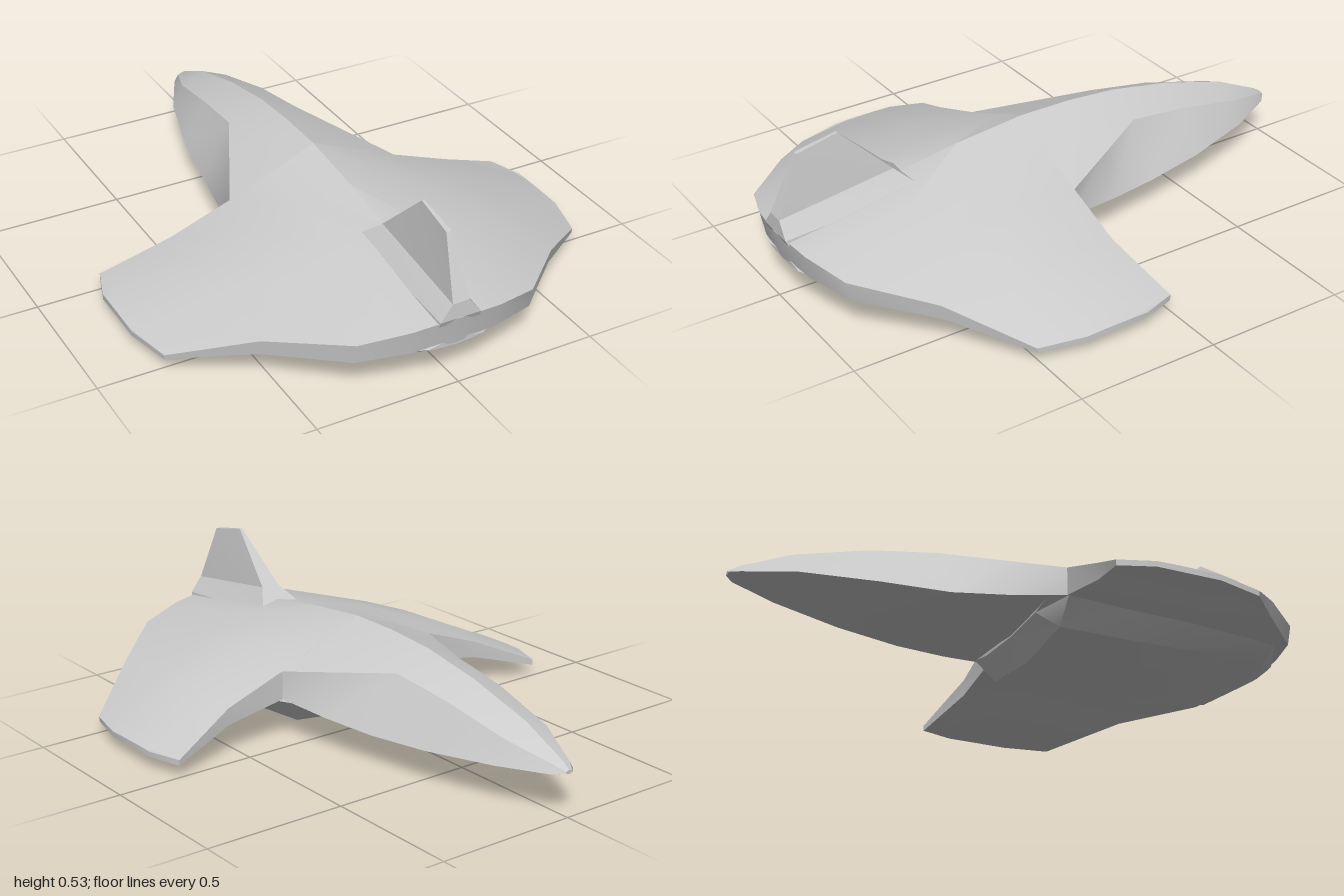
import * as THREE from 'three';
import { toCreasedNormals } from 'three/addons/utils/BufferGeometryUtils.js';

const material = new THREE.MeshStandardMaterial({ color: 0xcccccc });

// Skins a list of closed rings of [x, y, z] points and caps both ends.
function loft(name, rings, crease = 0.45) {
  const n = rings[0].length;
  const pos = rings.flat(2);
  const index = [];
  for (let i = 0; i < rings.length - 1; i++) {
    for (let j = 0; j < n; j++) {
      const a = i * n + j, b = i * n + (j + 1) % n;
      index.push(a, b, b + n, a, b + n, a + n);
    }
  }
  [0, rings.length - 1].forEach((r, end) => {
    const centre = [0, 1, 2].map(k => rings[r].reduce((s, p) => s + p[k], 0) / n);
    const c = pos.length / 3;
    pos.push(...centre);
    for (let j = 0; j < n; j++) {
      const a = r * n + j, b = r * n + (j + 1) % n;
      index.push(...(end ? [c, a, b] : [c, b, a]));
    }
  });
  // Turn the faces outward if the enclosed volume comes out negative
  const v = i => new THREE.Vector3().fromArray(pos, i * 3);
  let volume = 0;
  for (let i = 0; i < index.length; i += 3) {
    volume += v(index[i]).dot(v(index[i + 1]).cross(v(index[i + 2])));
  }
  if (volume < 0) index.reverse();
  const geometry = new THREE.BufferGeometry();
  geometry.setAttribute('position', new THREE.Float32BufferAttribute(pos, 3));
  geometry.setIndex(index);
  const mesh = new THREE.Mesh(toCreasedNormals(geometry, crease), material);
  mesh.name = name;
  return mesh;
}

// Completes a half section, running from top centre to bottom centre
const mirrorRing = half => [
  ...half,
  ...half.slice(1, -1).reverse().map(([x, y, z]) => [-x, y, z]),
];

// Nose: sloping walls between an upper ridge and a wider lower edge
function makeNose() {
  const stations = [ // z, topY, ridgeX, ridgeY, edgeX, edgeY, bottomY
    [-1.00, 0.165, 0.012, 0.16, 0.015, 0.155, 0.15],
    [-0.97, 0.185, 0.03, 0.175, 0.045, 0.15, 0.14],
    [-0.80, 0.262, 0.09, 0.225, 0.13, 0.145, 0.105],
    [-0.55, 0.33, 0.115, 0.28, 0.20, 0.13, 0.083],
    [-0.32, 0.37, 0.13, 0.31, 0.24, 0.12, 0.085],
    [-0.13, 0.383, 0.225, 0.28, 0.28, 0.13, 0.098],
    [0.06, 0.383, 0.32, 0.25, 0.32, 0.15, 0.13],
  ];
  return loft('nose', stations.map(([z, top, rx, ry, ex, ey, bottom]) => mirrorRing([
    [0, top, z], [rx / 2, (top + ry) / 2, z], [rx, ry, z], [ex, ey, z], [0, bottom, z],
  ])));
}

// Deck: drooping wings and rear body, skinned across the span
function makeDeck() {
  const stations = [ // x, front z/top/bottom, two upper points z/y, rear z/top/bottom
    [0, 0.06, 0.383, 0.13, 0.32, 0.355, 0.60, 0.31, 1.00, 0.245, 0.14],
    [0.16, 0.06, 0.317, 0.14, 0.32, 0.315, 0.60, 0.283, 0.975, 0.225, 0.137],
    [0.32, 0.06, 0.25, 0.15, 0.30, 0.272, 0.56, 0.248, 0.92, 0.197, 0.125],
    [0.54, 0.06, 0.17, 0.11, 0.25, 0.195, 0.47, 0.185, 0.71, 0.158, 0.103],
    [0.775, 0, 0.065, 0.045, 0.15, 0.085, 0.35, 0.08, 0.51, 0.058, 0.04],
    [0.815, 0.12, 0.066, 0.047, 0.18, 0.067, 0.29, 0.066, 0.35, 0.064, 0.045],
  ];
  const ring = ([x, fz, ft, fb, z1, y1, z2, y2, rz, rt, rb], side) => {
    const under = z => fb + (rb - fb) * (z - fz) / (rz - fz);
    return [
      [fz, ft], [z1, y1], [z2, y2], [rz, rt],
      [rz - (rt - rb) * 0.2, rb], [z2, under(z2)], [z1, under(z1)], [fz, fb],
    ].map(([z, y]) => [side * x, y, z]);
  };
  return loft('wingsAndRearBody', [
    ...stations.slice(1).reverse().map(s => ring(s, -1)),
    ...stations.map(s => ring(s, 1)),
  ]);
}

// Belly: shallow keeled hull beneath the deck
function makeBelly() {
  const stations = [ // z, rimX, rimY, chineX, chineY, keelY
    [0.00, 0.30, 0.145, 0.20, 0.125, 0.115],
    [0.06, 0.33, 0.145, 0.26, 0.06, 0.03],
    [0.30, 0.34, 0.13, 0.28, 0.05, 0.004],
    [0.52, 0.34, 0.125, 0.275, 0.055, 0.018],
    [0.87, 0.29, 0.13, 0.20, 0.085, 0.065],
    [0.975, 0.10, 0.14, 0.07, 0.135, 0.13],
  ];
  return loft('belly', stations.map(([z, rx, ry, cx, cy, keel]) => mirrorRing([
    [0, ry + 0.02, z], [rx, ry, z], [cx, cy, z], [0, keel, z],
  ])));
}

// Fin: flared foot rising to a thin swept blade
function makeFin() {
  const levels = [ // front z/y/halfWidth, rear z/y/halfWidth
    [0.50, 0.27, 0.09, 0.99, 0.225, 0.075],
    [0.50, 0.29, 0.088, 0.998, 0.245, 0.072],
    [0.58, 0.36, 0.034, 0.995, 0.30, 0.03],
    [0.76, 0.535, 0.005, 0.91, 0.505, 0.009],
  ];
  return loft('tailFin', levels.map(([fz, fy, fw, rz, ry, rw]) => [
    [fw, fy, fz], [rw, ry, rz], [-rw, ry, rz], [-fw, fy, fz],
  ]), 0.25);
}

export function createModel() {
  const group = new THREE.Group();
  group.name = 'spacecraft';
  group.add(makeNose(), makeDeck(), makeBelly(), makeFin());
  return group;
}
